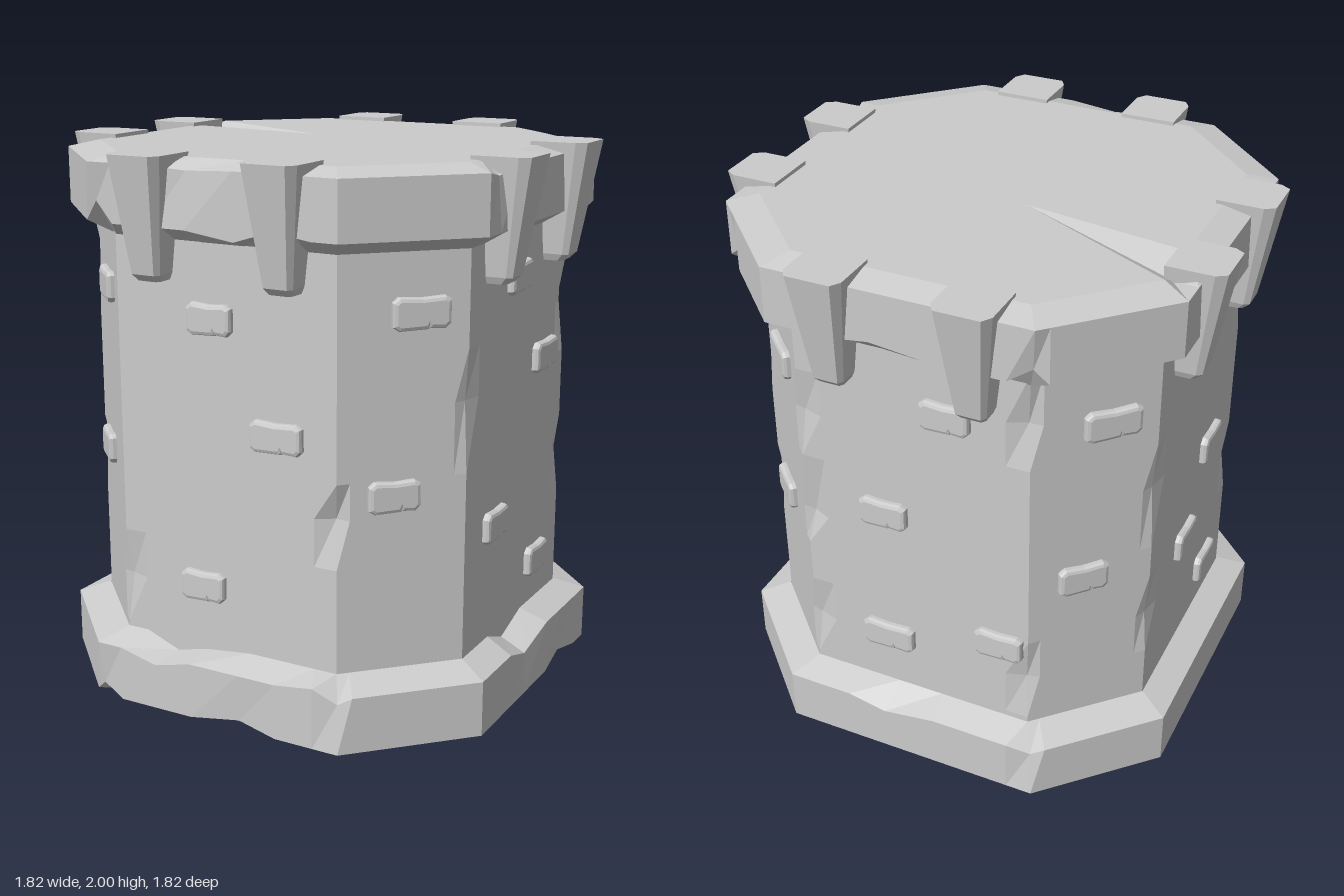
import * as THREE from 'three';

const SIDE_STEPS = [0, 0.1, 0.25, 0.4, 0.6, 0.75, 0.9];
const N = SIDE_STEPS.length; // points per octagon side
const material = () => new THREE.MeshStandardMaterial({ color: 0xcccccc, flatShading: true, side: THREE.DoubleSide });

// Unit octagon outline; side 0 is the front, sides run on to +x, the back and -x.
function octagon() {
  const c = 0.573;
  const corners = [[-c, 1], [c, 1], [1, c], [1, -c], [c, -1], [-c, -1], [-1, -c], [-1, c]];
  return corners.flatMap(([x, z], j) => {
    const [nx, nz] = corners[(j + 1) % 8];
    return SIDE_STEPS.map(t => [x + (nx - x) * t, z + (nz - z) * t]);
  });
}

// Octagonal shell through rows [half width, y, offset x, offset z], bottom to top.
// Chips are [row, side, step, width factor, y shift].
function shell(name, rows, chips) {
  const outline = octagon(), count = outline.length;
  const position = [], index = [];
  rows.forEach(([h, y, ox = 0, oz = 0], r) => outline.forEach(([x, z], i) => {
    const chip = chips.find(([row, side, step]) => row === r && side * N + step === i);
    const k = h * (chip ? chip[3] : 1);
    position.push(x * k + ox, y + (chip ? chip[4] : 0), z * k + oz);
  }));
  for (let r = 0; r < rows.length - 1; r++) {
    for (let i = 0; i < count; i++) {
      const a = r * count + i, b = r * count + (i + 1) % count;
      index.push(a, b, b + count);
      if (rows[r + 1][0] > 0) index.push(a, b + count, a + count);
    }
  }
  const indexed = new THREE.BufferGeometry();
  indexed.setAttribute('position', new THREE.Float32BufferAttribute(position, 3));
  indexed.setIndex(index);
  const geometry = indexed.toNonIndexed();
  geometry.computeVertexNormals();
  const mesh = new THREE.Mesh(geometry, material());
  mesh.name = name;
  return mesh;
}

// Tapered corbel with bevelled outer corners, standing against the front (+z) side.
function corbelGeometry() {
  const rows = [[0.045, 0.815, 1.575], [0.056, 0.84, 1.6], [0.103, 0.908, 2]]; // half width, outer z, y
  const position = [], index = [];
  for (const [w, out, y] of rows) {
    const b = w * 0.22;
    for (const [x, z] of [[-w, 0.705], [-w, out - b * 1.6], [-w + b, out], [w - b, out], [w, out - b * 1.6], [w, 0.705]]) {
      position.push(x, y, z);
    }
  }
  for (let r = 0; r < 2; r++) {
    for (let i = 0; i < 6; i++) {
      const a = r * 6 + i, b = r * 6 + (i + 1) % 6;
      index.push(a, b, b + 6, a, b + 6, a + 6);
    }
  }
  for (let i = 1; i < 5; i++) index.push(0, i + 1, i, 12, 12 + i, 13 + i);
  const indexed = new THREE.BufferGeometry();
  indexed.setAttribute('position', new THREE.Float32BufferAttribute(position, 3));
  indexed.setIndex(index);
  const geometry = indexed.toNonIndexed();
  geometry.computeVertexNormals();
  return geometry;
}

// Raised stone with soft edges and a small crack in its lower edge.
function stoneGeometry(width, height) {
  const bevel = 0.014, w = width / 2 - bevel, h = height / 2 - bevel;
  const outline = [[-w, -h + 0.008], [-w + 0.012, -h], [0.014, -h + 0.003], [0.022, -h + 0.02],
    [0.032, -h + 0.006], [w - 0.01, -h + 0.004], [w, -h + 0.014], [w, h - 0.006], [w - 0.01, h],
    [0, h - 0.005], [-w + 0.012, h], [-w, h - 0.01]];
  const shape = new THREE.Shape(outline.map(p => new THREE.Vector2(...p)));
  const geometry = new THREE.ExtrudeGeometry(shape, {
    depth: 0.03, bevelEnabled: true, bevelThickness: 0.014, bevelSize: bevel, bevelSegments: 2, steps: 1,
  });
  return geometry.translate(0, 0, -0.017);
}

export function createModel() {
  const tower = new THREE.Group();
  tower.name = 'tower';

  // Base ring, open underneath
  tower.add(shell('baseRing', [[0.745, 0.07], [0.735, 0.0], [0.855, 0.04], [0.855, 0.24], [0.75, 0.28]], [
    [3, 0, 2, 1, -0.035], [4, 0, 2, 1, -0.05], [4, 0, 3, 1, -0.02], [3, 0, 6, 1, 0.02], [3, 1, 0, 0.97, -0.03],
    [3, 2, 3, 0.99, -0.05], [4, 2, 3, 1, -0.05], [2, 2, 5, 0.99, 0.03], [1, 2, 5, 1, 0.025],
    [2, 0, 4, 0.99, 0.03], [2, 0, 0, 0.98, 0.04], [3, 5, 0, 0.97, -0.03], [3, 4, 3, 1, -0.03],
  ]));

  // Wall, chipped along its upright corners
  const levels = [0.07, 0.3, 0.48, 0.65, 0.82, 0.95, 1.2, 1.38, 1.55, 1.75];
  tower.add(shell('wall', levels.map(y => [0.748, y]), [
    [2, 0, 0, 0.97, 0], [4, 1, 0, 0.95, 0], [6, 2, 0, 0.98, 0], [7, 3, 0, 0.96, 0], [4, 3, 0, 0.98, 0],
    [2, 4, 0, 0.97, 0], [5, 4, 0, 0.96, 0], [7, 4, 0, 0.97, 0], [8, 5, 0, 0.96, 0], [2, 5, 0, 0.97, 0],
    [3, 6, 0, 0.98, 0], [6, 6, 0, 0.98, 0], [4, 7, 0, 0.97, 0], [8, 7, 0, 0.98, 0],
  ]));

  // Parapet band and roof, with one dent running into the roof
  tower.add(shell('parapet', [[0.745, 1.71], [0.83, 1.76], [0.83, 1.962], [0.73, 1.986], [0, 1.986, -0.13, -0.12]], [
    [1, 0, 0, 0.97, 0.07], [1, 0, 4, 1, -0.025], [1, 0, 5, 1, 0.02], [1, 3, 1, 0.98, 0.04], [1, 2, 6, 1, -0.02],
    [1, 5, 0, 0.97, 0.05], [1, 4, 3, 1, 0.02], [2, 2, 1, 0.98, -0.02], [2, 0, 3, 0.98, -0.01],
    [3, 6, 1, 0.99, -0.045],
  ]));

  // Two corbels on each of the four main sides
  const corbel = corbelGeometry();
  for (let side = 0; side < 4; side++) {
    for (const u of [-0.255, 0.255]) {
      const mesh = new THREE.Mesh(corbel, material());
      mesh.name = 'corbel';
      mesh.position.x = u;
      const holder = new THREE.Group();
      holder.name = 'corbelMount';
      holder.rotation.y = side * Math.PI / 2;
      holder.add(mesh);
      tower.add(holder);
    }
  }

  // Raised stones per side: [offset along side, y, width]
  const diagonal = [[0.057, 1.51, 0.2], [-0.03, 0.895, 0.18]];
  const stones = [
    [[-0.05, 1.455, 0.175], [0.205, 1.08, 0.2], [-0.095, 0.5, 0.175]],
    diagonal,
    [[-0.03, 1.555, 0.18], [0.23, 1.225, 0.2], [-0.19, 0.7, 0.18], [0.205, 0.445, 0.18]],
    diagonal,
    [[0.13, 1.51, 0.18], [-0.115, 1.05, 0.18], [-0.115, 0.5, 0.2], [0.32, 0.61, 0.18]],
    diagonal,
    [[-0.07, 1.53, 0.18], [0.155, 1.03, 0.18], [-0.07, 0.74, 0.18], [0.2, 0.44, 0.18]],
    diagonal,
  ];
  stones.forEach((list, side) => {
    const group = new THREE.Group();
    group.name = 'wallStones';
    group.rotation.y = side * Math.PI / 4;
    for (const [u, y, width] of list) {
      const mesh = new THREE.Mesh(stoneGeometry(width, 0.112), material());
      mesh.name = 'stone';
      mesh.position.set(u, y, side % 2 ? 0.832 : 0.748);
      group.add(mesh);
    }
    tower.add(group);
  });

  return tower;
}
